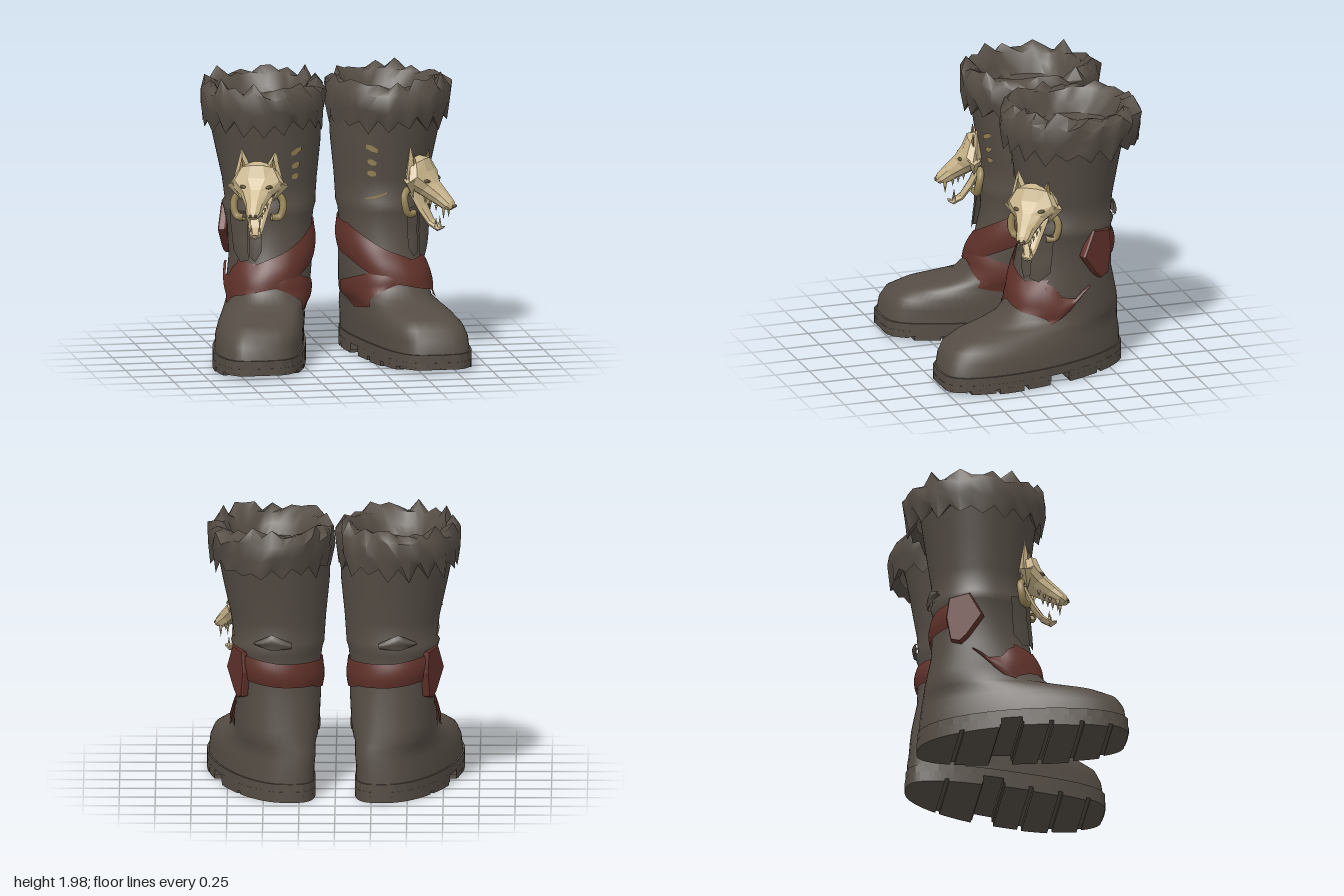
import * as THREE from 'three';
import { toCreasedNormals } from 'three/addons/utils/BufferGeometryUtils.js';

const mat = (name, color) => Object.assign(new THREE.MeshStandardMaterial({ color, side: THREE.DoubleSide }), { name });
const { degToRad: rad, lerp, clamp } = THREE.MathUtils;

// Boot cross-sections: y, back z, front z, centre x, rear half width, front half width, outward slant
const RINGS = [
  [0.10, -0.65, 0.76, 0.52, 0.30, 0.335, 0.22],
  [0.22, -0.645, 0.74, 0.515, 0.30, 0.325, 0.22],
  [0.29, -0.635, 0.70, 0.50, 0.30, 0.31, 0.22],
  [0.345, -0.63, 0.60, 0.48, 0.30, 0.28, 0.21],
  [0.385, -0.625, 0.42, 0.45, 0.30, 0.265, 0.18],
  [0.42, -0.62, 0.28, 0.42, 0.30, 0.27, 0.13],
  [0.50, -0.61, 0.20, 0.41, 0.30, 0.29, 0.10],
  [0.70, -0.57, 0.13, 0.39, 0.29, 0.29, 0.04],
  [0.90, -0.56, 0.09, 0.395, 0.29, 0.29, 0],
  [1.02, -0.56, 0.09, 0.40, 0.31, 0.31, 0],
  [1.07, -0.575, 0.10, 0.40, 0.325, 0.325, 0],
  [1.10, -0.56, 0.08, 0.39, 0.315, 0.315, 0],
  [1.25, -0.57, 0.09, 0.395, 0.33, 0.33, 0],
  [1.50, -0.61, 0.13, 0.41, 0.37, 0.37, 0],
  [1.75, -0.65, 0.16, 0.43, 0.40, 0.40, 0],
];

// Point on the boot skin: 0 degrees is the front, 90 the outer side
function skin(deg, y, off = 0) {
  let i = 0;
  while (i < RINGS.length - 2 && y > RINGS[i + 1][0]) i++;
  const A = RINGS[i], B = RINGS[i + 1], t = (y - A[0]) / (B[0] - A[0]);
  const [, zb, zf, cx, wb, wf, slant] = A.map((v, k) => lerp(v, B[k], t));
  const s = Math.sin(rad(deg)), c = Math.cos(rad(deg));
  // Boxy toe below, rounder heel, oval shaft above
  const p = y < 0.5 ? lerp(0.53 + 0.1 * (1 - c), 0.8, clamp((y - 0.3) / 0.2, 0, 1)) : Math.min(1, 0.8 + (y - 0.5) * 0.4);
  const dz = (zf - zb) / 2 * c;
  const x = cx + slant * (dz - 0.45 * dz * dz) + lerp(wb, wf, (c + 1) / 2) * Math.sign(s) * Math.abs(s) ** p;
  return new THREE.Vector3(x + off * s, y, (zb + zf) / 2 + dz + off * c);
}

// Surface through rows of points
function loft(rows, closed = true) {
  const n = rows[0].length, idx = [];
  for (let i = 0; i < rows.length - 1; i++)
    for (let j = 0; j < (closed ? n : n - 1); j++) {
      const k = (j + 1) % n, a = i * n + j, b = i * n + k, c = b + n, d = a + n;
      idx.push(a, b, c, a, c, d);
    }
  const g = new THREE.BufferGeometry().setFromPoints(rows.flat());
  g.setIndex(idx);
  g.computeVertexNormals();
  return g;
}

function flat(g) {
  const f = g.toNonIndexed();
  f.computeVertexNormals();
  return f;
}

// Mirror across x = 0, keeping faces outward
function mirror(g) {
  const m = g.index ? g.toNonIndexed() : g.clone();
  m.scale(-1, 1, 1);
  for (const a of Object.values(m.attributes)) {
    const n = a.itemSize;
    for (let i = 0; i < a.count; i += 3)
      for (let k = 0; k < n; k++) {
        const p = (i + 1) * n + k, q = (i + 2) * n + k, v = a.array[p];
        a.array[p] = a.array[q];
        a.array[q] = v;
      }
  }
  return m;
}

// Strip lying on the boot; keys are [degrees, bottom y, top y]
function wrap(keys, d, bulge = 0.6) {
  const cols = [];
  keys.slice(0, -1).forEach((A, i) => {
    const steps = Math.ceil(Math.abs(keys[i + 1][0] - A[0]) / 6);
    for (let s = 0; s < steps; s++) cols.push(A.map((v, k) => lerp(v, keys[i + 1][k], s / steps)));
  });
  cols.push(keys[keys.length - 1]);
  const rows = [];
  for (let r = 0; r <= 8; r++)
    rows.push(cols.map(([a, y0, y1]) => skin(a, lerp(y0, y1, r / 8), d * (1 - bulge + bulge * Math.sin(Math.PI * r / 8)))));
  return loft(rows, false);
}

// Slice of the sole outline between two depths
function soleSlice(z0, z1, y0, y1) {
  const mid = 0.055, half = 0.705;
  const ang = z => THREE.MathUtils.radToDeg(Math.acos(clamp((z - mid) / half, -1, 1)));
  const a0 = ang(z1), a1 = ang(z0), pts = [];
  for (let i = 0; i <= 16; i++) pts.push(lerp(a0, a1, i / 16));
  for (let i = 16; i >= 0; i--) pts.push(-lerp(a0, a1, i / 16));
  const shape = new THREE.Shape(pts.map(a => { const p = skin(a, 0.1, 0.012); return new THREE.Vector2(p.x, -p.z); }));
  return new THREE.ExtrudeGeometry(shape, { depth: y1 - y0, bevelEnabled: false }).rotateX(-Math.PI / 2).translate(0, y0, 0);
}

// Shaggy rolled cuff with a shallow hollow inside
function cuffGeometry(seed) {
  const rnd = () => (seed = (seed * 16807) % 2147483647) / 2147483647;
  const N = 36;
  // radius x, radius z, y, radius jitter, y jitter, tooth depth
  const prof = [
    [0.375, 0.41, 1.70, 0, 0, 0], [0.405, 0.46, 1.645, 0.015, 0.03, 0.035], [0.43, 0.49, 1.76, 0.015, 0.02, 0],
    [0.435, 0.485, 1.87, 0.025, 0.03, 0.012], [0.385, 0.43, 1.93, 0.025, 0.045, 0.008], [0.33, 0.37, 1.90, 0.015, 0.02, 0],
    [0.29, 0.32, 1.82, 0.012, 0.01, 0], [0.262, 0.292, 1.75, 0.01, 0, 0], [0, 0, 1.74, 0, 0, 0]];
  const rows = prof.map(([rx, rz, y, jr, jy, tooth]) => Array.from({ length: N }, (_, j) => {
    const a = j / N * Math.PI * 2, e = (rnd() - 0.5) * 2 * jr + (j % 2 ? tooth * 0.3 : 0);
    const py = y + (rnd() - 0.5) * 2 * jy + (j % 2 ? -tooth : tooth);
    return new THREE.Vector3(0.44 + (rx + e) * Math.sin(a), Math.min(2, py), -0.27 + (rz + e) * Math.cos(a));
  }));
  return toCreasedNormals(loft(rows), 1.1);
}

function makeBoot(side, M) {
  const boot = new THREE.Group();
  boot.name = side > 0 ? 'leftBoot' : 'rightBoot';
  const add = (name, g, m) => {
    const mesh = new THREE.Mesh(side > 0 ? g : mirror(g), m);
    mesh.name = name;
    boot.add(mesh);
  };
  // Foot and shaft
  const rows = RINGS.map(r => Array.from({ length: 60 }, (_, j) => skin(j * 6, r[0])));
  add('bootBody', toCreasedNormals(loft(rows), 0.9), M.leather);
  add('furCuff', cuffGeometry(side > 0 ? 77 : 4242), M.leather);
  // Sole, heel and shallow treads
  add('welt', soleSlice(-0.65, 0.76, 0.07, 0.13), M.leather);
  add('heel', soleSlice(-0.65, -0.13, 0.02, 0.075), M.leather);
  add('frontSole', soleSlice(0.01, 0.76, 0.035, 0.075), M.leather);
  [[-0.65, -0.4, 0], [-0.37, -0.14, 0], [0.02, 0.19, 0.005], [0.22, 0.4, 0], [0.43, 0.6, 0.01], [0.63, 0.75, 0.025]]
    .forEach(([a, b, y]) => add('tread', soleSlice(a, b, y, 0.04), M.leather));
  // Crossed red wrappings
  add('lowerWrap', wrap([[-95, 0.34, 0.5], [-60, 0.38, 0.56], [-30, 0.46, 0.61], [0, 0.53, 0.66], [30, 0.56, 0.69], [58, 0.58, 0.71]], 0.02), M.red);
  add('upperWrap', wrap([[-248, 0.85, 1.0], [-225, 0.83, 1.01], [-180, 0.8, 0.97], [-135, 0.79, 0.96], [-90, 0.73, 0.95],
    [-60, 0.69, 0.93], [-30, 0.6, 0.84], [0, 0.53, 0.75], [30, 0.49, 0.68], [52, 0.47, 0.7], [66, 0.44, 0.66], [76, 0.4, 0.59],
    [90, 0.53, 0.57], [98, 0.59, 0.62], [106, 0.64, 0.65]], 0.028), M.red);
  // Knot and hanging tail
  const tail = new THREE.Shape([[-0.17, -0.03], [-0.08, 0.14], [0.06, 0.12], [0.08, -0.02], [0.05, -0.19], [-0.01, -0.21], [-0.06, -0.17]]
    .map(p => new THREE.Vector2(...p)));
  const at = skin(122, 0.91, -0.01);
  add('wrapKnot', new THREE.ExtrudeGeometry(tail, { depth: 0.035, bevelSize: 0.008, bevelThickness: 0.012, bevelSegments: 1 })
    .rotateY(rad(116)).translate(at.x, at.y, at.z), M.red);
  // Leather flaps under the skull and a tab behind
  add('flap', wrap([[20, 0.78, 1.05], [27, 0.71, 1.06], [35, 0.74, 1.06]], 0.045, 0.3), M.leather);
  add('flap', wrap([[36, 0.72, 1.06], [48, 0.7, 1.06], [60, 0.77, 1.05]], 0.055, 0.3), M.leather);
  add('backTab', wrap([[150, 1.1, 1.12], [172, 1.07, 1.18], [195, 1.08, 1.12]], 0.04), M.leather);
  // Painted dashes on the shaft
  [[1.48, 0.016, -29, -16], [1.38, 0.008, -27, -17], [1.30, 0.003, -27, -17]].forEach(([y, tilt, a, b]) =>
    add('dash', wrap([[a, y + tilt - 0.013, y + tilt + 0.013], [(a + b) / 2, y - 0.022, y + 0.022], [b, y - tilt - 0.014, y - tilt + 0.012]], 0.008, 0), M.horn));
  if (side > 0) add('longDash', wrap([[-30, 1.115, 1.12], [-16, 1.125, 1.142], [-3, 1.155, 1.165]], 0.009, 0), M.horn);
  return boot;
}

// Wolf skull facing +z, eyes near the origin
function makeSkull(M) {
  const skull = new THREE.Group();
  skull.name = 'wolfSkull';
  const add = (name, g, m = M.bone) => {
    const mesh = new THREE.Mesh(g, m);
    mesh.name = name;
    skull.add(mesh);
    return mesh;
  };
  // Rings along a sloping axis: y, z, half width, half depth
  const muzzle = (secs, tilt, n) => flat(loft(secs.map(([y, z, a, b]) => Array.from({ length: n }, (_, j) => {
    const t = j / n * Math.PI * 2, q = b * Math.sin(t);
    return new THREE.Vector3(a * Math.cos(t), y + q * Math.cos(tilt), z + q * Math.sin(tilt));
  }))));
  add('cranium', muzzle([[0.15, -0.01, 0, 0], [0.15, -0.01, 0.06, 0.035], [0.11, 0.02, 0.13, 0.075], [0.02, 0.04, 0.185, 0.09], [-0.04, 0.1, 0.105, 0.075],
    [-0.10, 0.18, 0.065, 0.06], [-0.145, 0.24, 0.052, 0.045], [-0.165, 0.27, 0.03, 0.022], [-0.165, 0.27, 0, 0]], 0.88, 10));
  add('lowerJaw', muzzle([[-0.07, 0, 0, 0], [-0.07, 0, 0.1, 0.025], [-0.18, 0.05, 0.07, 0.025], [-0.27, 0.11, 0.048, 0.022],
    [-0.31, 0.17, 0.032, 0.02], [-0.3, 0.2, 0.018, 0.012], [-0.3, 0.2, 0, 0]], 0.6, 8));
  for (const s of [-1, 1]) {
    // Wide upright ears with a hollow front
    const ear = add('ear', flat(new THREE.ConeGeometry(0.08, 0.22, 4)));
    ear.position.set(s * 0.1, 0.15, 0.01);
    ear.rotation.z = -s * 0.1;
    ear.scale.z = 0.6;
    const inner = add('innerEar', flat(new THREE.ConeGeometry(0.035, 0.11, 4)), M.horn);
    inner.position.set(s * 0.1, 0.15, 0.036);
    inner.rotation.z = -s * 0.1;
    inner.scale.z = 0.6;
    const eye = add('eyeSocket', new THREE.SphereGeometry(0.027, 8, 6), M.dark);
    eye.position.set(s * 0.088, 0.018, 0.122);
    eye.rotation.set(-0.6, s * 0.5, s * 0.4);
    eye.scale.set(1, 0.45, 0.4);
    const nostril = add('nostril', new THREE.SphereGeometry(0.011, 6, 5), M.dark);
    nostril.position.set(s * 0.016, -0.15, 0.28);
    const cheek = add('cheekSpike', flat(new THREE.ConeGeometry(0.045, 0.14, 4)));
    cheek.position.set(s * 0.135, -0.03, 0.03);
    cheek.rotation.z = s * 2.7;
    // Upper and lower fangs
    add('fang', new THREE.ConeGeometry(0.014, 0.08, 6).rotateX(Math.PI).translate(s * 0.038, -0.2, 0.22));
    add('fang', new THREE.ConeGeometry(0.012, 0.07, 6).translate(s * 0.028, -0.26, 0.16));
    for (let i = 0; i < 3; i++)
      add('tooth', new THREE.ConeGeometry(0.011, 0.04, 5).rotateX(Math.PI).translate(s * (0.048 + i * 0.012), -0.165 + i * 0.025, 0.17 - i * 0.035));
    // Curved tusk beside the jaw
    const curve = new THREE.CatmullRomCurve3([[0.11, -0.04, -0.01], [0.155, -0.08, -0.01], [0.165, -0.14, 0], [0.14, -0.2, 0.01], [0.09, -0.2, 0.03]]
      .map(([x, y, z]) => new THREE.Vector3(s * x, y, z)));
    add('tusk', new THREE.TubeGeometry(curve, 14, 0.025, 8), M.horn);
  }
  return skull;
}

export function createModel() {
  const M = {
    leather: mat('grey brown leather', 0x554d45),
    red: mat('dark red cloth', 0x60312a),
    bone: mat('bone', 0xc9b58b),
    horn: mat('old horn', 0x968355),
    dark: mat('dark socket', 0x5f4f33),
  };
  const model = new THREE.Group();
  model.name = 'furBoots';
  model.add(makeBoot(1, M), makeBoot(-1, M));
  const left = makeSkull(M), right = makeSkull(M);
  left.position.set(0.59, 1.235, 0.05);
  left.rotation.y = rad(53);
  right.position.set(-0.53, 1.235, 0.075);
  right.rotation.y = rad(-18);
  for (const skull of [left, right]) skull.scale.setScalar(1.05);
  model.add(left, right);
  return model;
}
